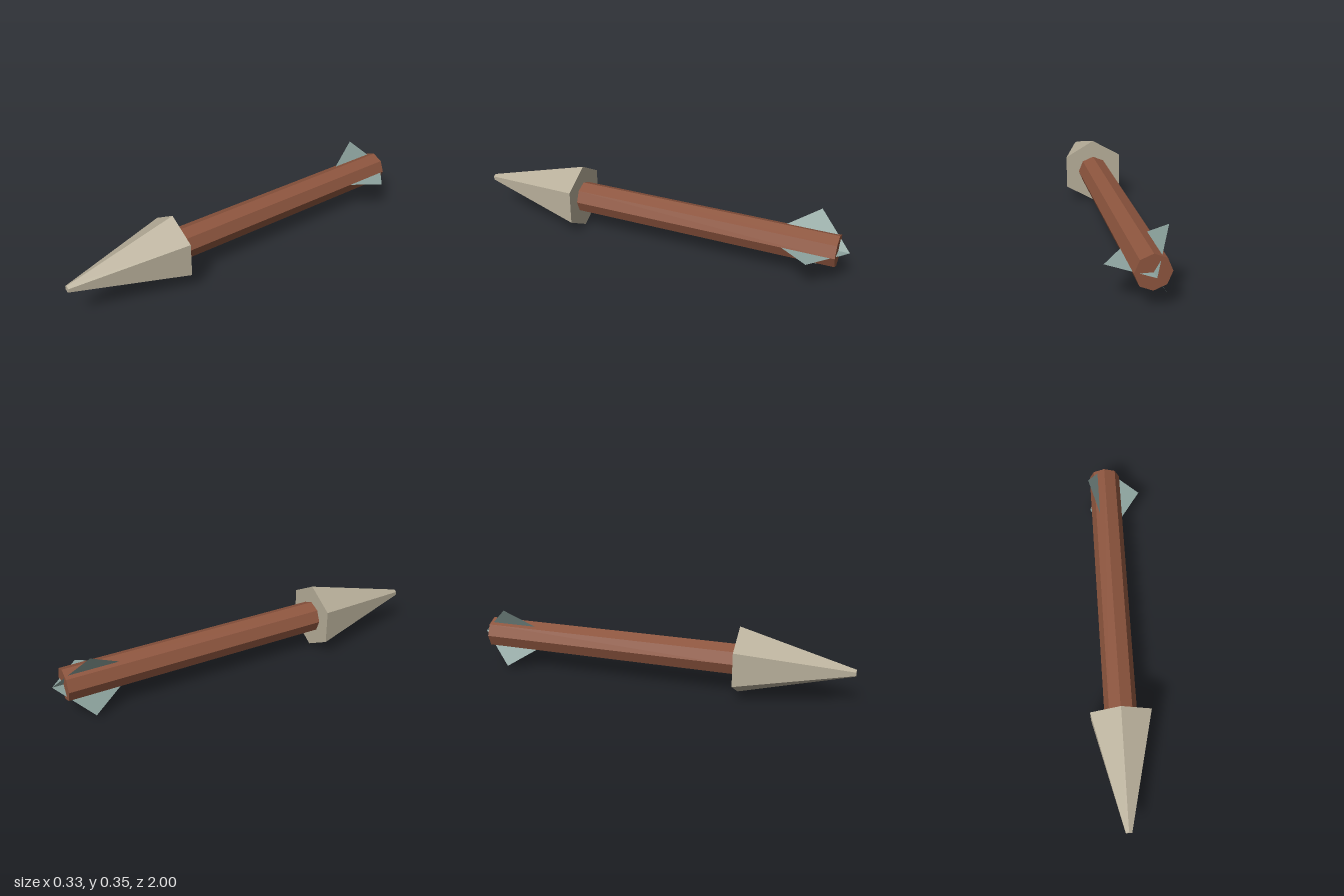
import * as THREE from 'three';

const AXIS_X = -0.0175, AXIS_Y = 0.175;

function material(name, color, side = THREE.FrontSide) {
  const m = new THREE.MeshStandardMaterial({ color, flatShading: true, side });
  m.name = name;
  return m;
}

// Faceted rod or cone along z, from zBack to zFront
function rod(name, rFront, rBack, zBack, zFront, sides, mat) {
  const geo = new THREE.CylinderGeometry(rFront, rBack, zFront - zBack, sides);
  geo.rotateX(Math.PI / 2);
  geo.translate(0, 0, (zFront + zBack) / 2);
  const mesh = new THREE.Mesh(geo, mat);
  mesh.name = name;
  return mesh;
}

export function createModel() {
  const stone = material('stone', 0xb9b09b);
  const wood = material('wood', 0x8d553e);
  const feather = material('feather', 0x8da39e, THREE.DoubleSide);

  const arrow = new THREE.Group();
  arrow.name = 'arrow';
  arrow.position.set(AXIS_X, AXIS_Y, 0);

  // Six-sided head with a blunt tip, eight-sided shaft
  arrow.add(rod('head', 0.018, 0.175, 0.427, 1, 6, stone));
  arrow.add(rod('shaft', 0.082, 0.082, -0.945, 0.427, 8, wood));

  // Three flat triangular fins meeting on the axis behind the shaft
  const outline = new THREE.Shape([
    new THREE.Vector2(0, 1),
    new THREE.Vector2(0.183, 0.832),
    new THREE.Vector2(0, 0.57),
  ]);
  const finGeo = new THREE.ShapeGeometry(outline);
  finGeo.rotateX(-Math.PI / 2);
  for (let i = 0; i < 3; i++) {
    const fin = new THREE.Mesh(finGeo, feather);
    fin.name = 'fin' + (i + 1);
    fin.rotation.z = (i * Math.PI * 2) / 3;
    arrow.add(fin);
  }

  const model = new THREE.Group();
  model.name = 'arrowModel';
  model.add(arrow);
  return model;
}
